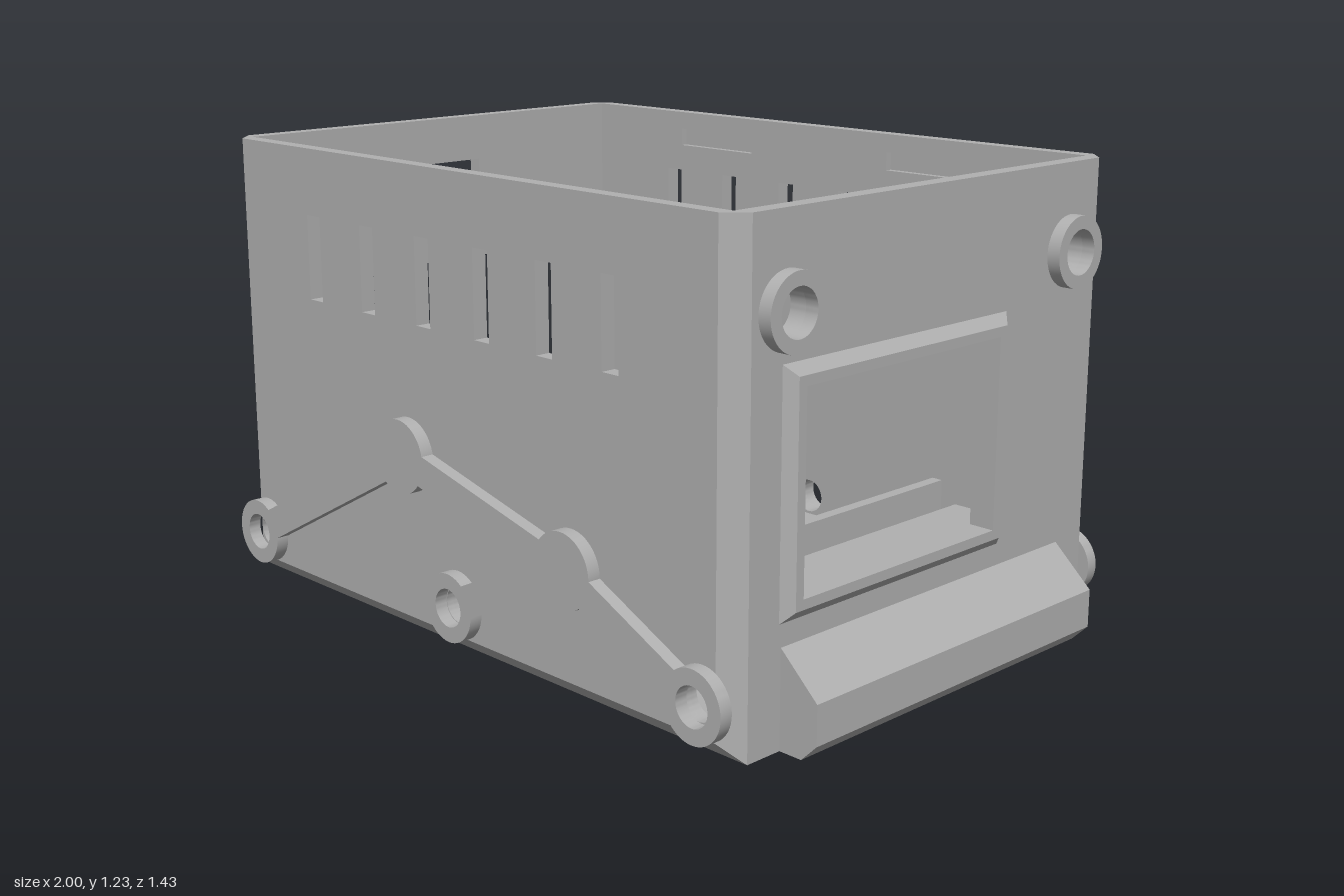
import * as THREE from 'three';
import { toCreasedNormals } from 'three/addons/utils/BufferGeometryUtils.js';
import { ConvexGeometry } from 'three/addons/geometries/ConvexGeometry.js';

export function createModel() {
  const model = new THREE.Group();
  model.name = 'enclosure';
  const grey = new THREE.MeshStandardMaterial({ color: 0xb0b0b0 });
  grey.name = 'grey plastic';

  const add = (name, geo, parent = model) => {
    const m = new THREE.Mesh(geo, grey);
    m.name = name;
    parent.add(m);
    return m;
  };
  const poly = (pts) => new THREE.Shape(pts.map(([x, y]) => new THREE.Vector2(x, y)));
  const rect = (x0, x1, y0, y1) => poly([[x0, y0], [x1, y0], [x1, y1], [x0, y1]]);
  const circle = (x, y, r) => new THREE.Shape().absarc(x, y, r, 0, Math.PI * 2, false);
  // Extrude along z from a to b, with holes
  const plate = (shape, holes, a, b) => {
    shape.holes = holes;
    const g = new THREE.ExtrudeGeometry(shape, { depth: b - a, bevelEnabled: false, curveSegments: 24 });
    g.translate(0, 0, a);
    return toCreasedNormals(g, 0.6);
  };
  // Shape drawn in (x, -z), extruded upward
  const flat = (shape, holes, a, b) => plate(shape, holes, a, b).rotateX(-Math.PI / 2);
  // Shape drawn in (-z, y), extruded along x
  const side = (shape, holes, a, b) => plate(shape, holes, a, b).rotateY(Math.PI / 2);

  // Floor: lower layer has the square pocket, upper layer the motor holes
  const slot = () => rect(-0.115, -0.045, -0.2, 0.2);
  add('floorLower', flat(rect(-0.96, 0.845, -0.63, 0.63),
    [rect(-0.035, 0.505, -0.27, 0.27), slot()], 0, 0.03));
  const screws = [];
  for (const x of [0.095, 0.37]) for (const z of [-0.232, 0.232]) screws.push(circle(x, z, 0.026));
  add('floorUpper', flat(rect(-0.96, 0.845, -0.64, 0.64).clone(),
    [circle(0.235, 0, 0.135), slot(), ...screws], 0.05, 0.08));
  add('floorMiddle', flat(rect(-0.96, 0.845, -0.63, 0.63),
    [circle(0.235, 0, 0.135), slot(), ...screws], 0.03, 0.05));

  // Standoffs
  for (const [x, z] of [[-0.58, -0.535], [-0.605, 0.53], [0.545, -0.2], [0.545, 0.42]]) {
    add('standoff', flat(circle(x, -z, 0.064), [circle(x, -z, 0.03)], 0.08, 0.32));
  }

  // Long walls: outer skin, and inner skin with lid grooves
  const vents = () => [-0.63, -0.4, -0.172, 0.055, 0.283, 0.507]
    .map((x) => rect(x - 0.028, x + 0.028, 0.83, 1.055));
  const pivots = () => [-0.9, -0.06, 0.79].map((x) => circle(x, 0.135, 0.048));
  const grooves = () => [[-0.6, -0.31], [0.2, 0.49]].map(([a, b]) => rect(a, b, 1.13, 1.18));
  const wall = () => rect(-0.95, 0.84, 0.05, 1.23);

  // Suspension-like link: hubs joined by straight arms
  const A = [-0.912, 0.135], B = [-0.06, 0.135], C = [0.8, 0.135];
  const D = [-0.245, 0.49], E = [0.37, 0.34];
  const buildLink = (sign) => {
    const link = new THREE.Group();
    link.name = sign > 0 ? 'frontLink' : 'backLink';
    model.add(link);
    const [z0, z1] = sign > 0 ? [0.68, 0.715] : [-0.715, -0.68];
    for (const [x, y] of [A, B, C]) {
      add('pivotHub', plate(circle(x, y, 0.09), [circle(x, y, 0.05)], z0, z1), link);
    }
    for (const [x, y] of [D, E]) add('jointHub', plate(circle(x, y, 0.097), [], z0, z1), link);
    for (const [p, q, gap] of [[A, D, 0.07], [D, E, 0], [B, E, 0.07], [C, E, 0.07]]) {
      const dx = q[0] - p[0], dy = q[1] - p[1], len = Math.hypot(dx, dy);
      const g = new THREE.BoxGeometry(len - gap, 0.082, z1 - z0);
      g.translate((len + gap) / 2, 0, 0);
      g.rotateZ(Math.atan2(dy, dx));
      g.translate(p[0], p[1], (z0 + z1) / 2);
      add('linkArm', g, link);
    }
  };

  for (const s of [1, -1]) {
    const name = s > 0 ? 'front' : 'back';
    const span = (a, b) => (s > 0 ? [a, b] : [-b, -a]);
    add(name + 'WallOuter', plate(wall(), [...vents(), ...pivots()], ...span(0.66, 0.68)));
    add(name + 'WallInner', plate(wall(), [...vents(), ...pivots(), ...grooves()], ...span(0.64, 0.66)));
    // Bottom chamfer
    add(name + 'BottomChamfer', new ConvexGeometry([
      [-1, 0, 0.63], [0.89, 0, 0.63], [-1, 0.05, 0.63], [0.89, 0.05, 0.63],
      [-0.95, 0.05, 0.68], [0.84, 0.05, 0.68],
    ].map(([x, y, z]) => new THREE.Vector3(x, y, z * s))));
    // Chamfered corner posts
    add('cornerPost', flat(poly([[-1, 0.63], [-0.95, 0.68], [-0.95, 0.64], [-0.96, 0.64], [-0.96, 0.63]]
      .map(([x, z]) => [x, -z * s])), [], 0.05, 1.23));
    add('cornerPost', flat(poly([[0.89, 0.63], [0.84, 0.68], [0.84, 0.64], [0.845, 0.64], [0.845, 0.63]]
      .map(([x, z]) => [x, -z * s])), [], 0.05, 1.23));
    buildLink(s);
    // Round cable bosses on the display wall
    add('cableBoss', side(circle(s * 0.518, 1.008, 0.092), [circle(s * 0.518, 1.008, 0.058)], 0.89, 0.925));
  }

  // End wall with the large opening and a small slot
  add('openEndWall', side(rect(-0.63, 0.63, 0, 1.23),
    [rect(-0.55, 0.55, 0.12, 0.808), rect(-0.14, 0.14, 0.98, 1.1)], -1, -0.96));

  // Display wall with window and cable holes
  add('displayWall', side(rect(-0.63, 0.63, 0, 1.23),
    [rect(-0.48, 0.213, 0.355, 0.84), circle(-0.518, 1.008, 0.058), circle(0.518, 1.008, 0.058)], 0.845, 0.89));

  // Bevelled window frame, lofted through rectangular loops
  const loops = [[0.89, 0.052], [0.915, 0.025], [0.915, 0], [0.89, 0]].map(([x, m]) => [
    [x, 0.355 - m, 0.48 + m], [x, 0.355 - m, -0.213 - m],
    [x, 0.84 + m, -0.213 - m], [x, 0.84 + m, 0.48 + m],
  ]);
  const pos = [];
  for (let i = 0; i < 3; i++) {
    for (let j = 0; j < 4; j++) {
      const k = (j + 1) % 4;
      const a = loops[i][j], b = loops[i][k], c = loops[i + 1][k], d = loops[i + 1][j];
      pos.push(...a, ...b, ...c, ...a, ...c, ...d);
    }
  }
  const frame = new THREE.BufferGeometry();
  frame.setAttribute('position', new THREE.Float32BufferAttribute(pos, 3));
  frame.computeVertexNormals();
  add('windowFrame', frame);

  // Outer ledge under the window
  add('outerLedge', plate(poly([[0.89, 0], [0.955, 0], [1, 0.045], [1, 0.145], [0.89, 0.247]]), [], -0.522, 0.525));

  // Inner shelf with a retaining lip and sloped underside
  add('innerShelf', plate(poly([[0.845, 0.105], [0.845, 0.35], [0.71, 0.35], [0.71, 0.3],
    [0.665, 0.3], [0.665, 0.405], [0.635, 0.405], [0.635, 0.315]]), [], -0.33, 0.59));

  return model;
}
